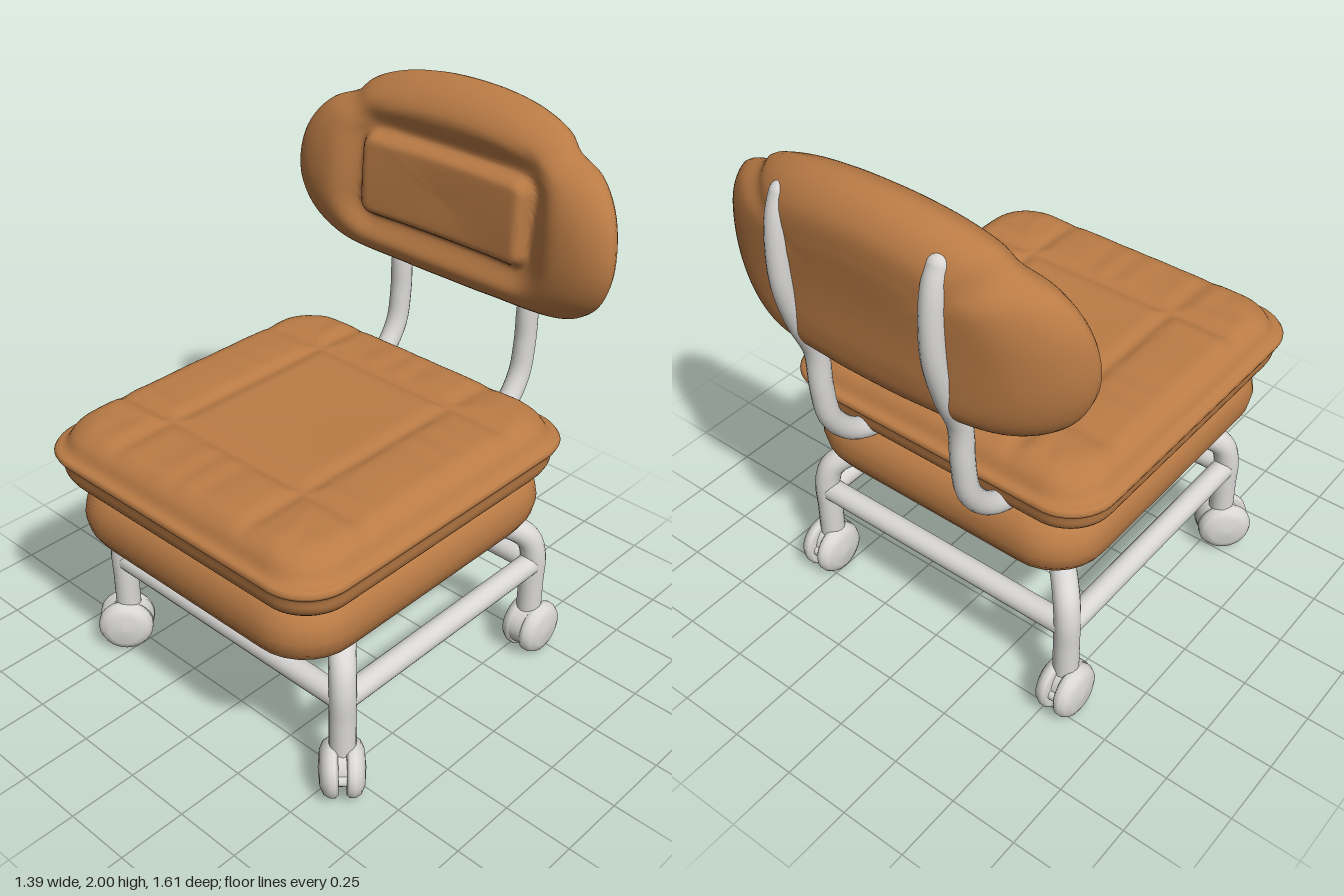
import * as THREE from 'three';

const leather = new THREE.MeshStandardMaterial({ color: 0xbb7c46 });
leather.name = 'tanLeather';
const metal = new THREE.MeshStandardMaterial({ color: 0xd9d8d6 });
metal.name = 'paleMetal';

const V = (x, y, z = 0) => new THREE.Vector3(x, y, z);
const gauss = (d, w) => Math.exp(-(d * d) / (w * w));

function add(parent, name, geometry, material) {
  const mesh = new THREE.Mesh(geometry, material);
  mesh.name = name;
  parent.add(mesh);
  return mesh;
}

// Closed padded form: outline scaled by a profile of [scale, height], then bent by a rule
function padded(outline, profile, rings, rule) {
  const curve = new THREE.CatmullRomCurve3(profile.map(([s, h]) => V(s, h)));
  const sections = curve.getSpacedPoints(rings);
  const n = outline.length;
  const pos = [], idx = [];
  sections.forEach((q, i) => {
    const s = Math.max(q.x, 0);
    outline.forEach((o, j) => {
      const p = V(o.x * s, o.y * s, q.y);
      if (rule) rule(p, s, i / rings);
      pos.push(p.x, p.y, p.z);
      if (i === rings) return;
      const k = (j + 1) % n, a = i * n + j, b = i * n + k;
      idx.push(a, b, b + n, a, b + n, a + n);
    });
  });
  const g = new THREE.BufferGeometry();
  g.setAttribute('position', new THREE.Float32BufferAttribute(pos, 3));
  g.setIndex(idx);
  g.computeVertexNormals();
  return g;
}

// Evenly spaced counter-clockwise points of a rounded rectangle
function roundedRect(w, h, r, count) {
  const s = new THREE.Shape();
  s.moveTo(w, 0);
  s.lineTo(w, h - r);
  s.absarc(w - r, h - r, r, 0, Math.PI / 2);
  s.absarc(-w + r, h - r, r, Math.PI / 2, Math.PI);
  s.absarc(-w + r, -h + r, r, Math.PI, Math.PI * 1.5);
  s.absarc(w - r, -h + r, r, Math.PI * 1.5, Math.PI * 2);
  s.lineTo(w, 0);
  return s.getSpacedPoints(count).slice(0, count);
}

function tube(parent, name, points, r) {
  const curve = new THREE.CatmullRomCurve3(points);
  return add(parent, name, new THREE.TubeGeometry(curve, 40, r, 16), metal);
}

function buildSeat(root) {
  // Lower cushion
  const base = padded(roundedRect(0.59, 0.637, 0.2, 96), [
    [0, 0.535], [0.7, 0.535], [0.88, 0.57], [0.97, 0.62], [1, 0.69],
    [0.98, 0.755], [0.92, 0.8], [0.8, 0.812], [0, 0.812]], 40);
  add(root, 'lowerCushion', base.rotateX(-Math.PI / 2).translate(0, 0, 0.125), leather);

  // Upper cushion with a piped edge and stitched grooves around the centre panel
  const top = padded(roundedRect(0.645, 0.663, 0.17, 192), [
    [0, 0.805], [0.84, 0.805], [0.92, 0.82], [0.965, 0.865], [0.975, 0.912], [1, 0.928],
    [1, 0.945], [0.958, 0.957], [0.92, 1.0], [0.85, 1.034], [0.74, 1.042], [0, 1.035]],
  120, (p, s, t) => {
    if (t < 0.5 || s > 0.95) return;
    const z = 0.142 - p.y;
    const dx = Math.abs(p.x) - 0.305, dz = Math.abs(z - 0.12) - 0.35;
    const fade = Math.min(1, (0.95 - s) / 0.15);
    p.z -= fade * 0.013 * Math.max(gauss(dx, 0.03), gauss(dz, 0.03));
    // soft puckers across the border pads
    if (Math.max(dx, dz) > 0.03) {
      const along = dx > dz ? z : p.x;
      p.z += fade * 0.002 * Math.sin(along * 37 + Math.sin(along * 13) * 2);
    }
  });
  add(root, 'upperCushion', top.rotateX(-Math.PI / 2).translate(0, 0, 0.142), leather);
}

function buildBackrest(root) {
  const half = [[0.2, 1.278], [0.5, 1.305], [0.62, 1.38], [0.68, 1.48], [0.695, 1.59],
    [0.665, 1.72], [0.585, 1.82], [0.47, 1.872], [0.42, 1.92], [0.3, 1.967], [0.15, 1.993]];
  const right = half.map(([x, y]) => V(x, y - 1.62));
  const left = half.map(([x, y]) => V(-x, y - 1.62)).reverse();
  const outline = new THREE.CatmullRomCurve3(
    [V(0, -0.345), ...right, V(0, 0.38), ...left], true).getSpacedPoints(160).slice(0, 160);
  const g = padded(outline, [
    [0, -0.165], [0.5, -0.16], [0.75, -0.135], [0.9, -0.085], [0.97, -0.04], [1, 0],
    [0.97, 0.035], [0.88, 0.08], [0.75, 0.108], [0.6, 0.112], [0, 0.1]], 90, (p, s, t) => {
    // groove around the inset front panel
    if (t > 0.5) {
      const qx = Math.abs(p.x) - 0.31, qy = Math.abs(p.y) - 0.1;
      const d = Math.hypot(Math.max(qx, 0), Math.max(qy, 0)) + Math.min(Math.max(qx, qy), 0) - 0.065;
      p.z -= 0.045 * gauss(d, d > 0 ? 0.065 : 0.022) * Math.min(1, (1 - s) / 0.2);
    }
    // wrap forward at the sides, curl back at the top and bottom
    const x2 = p.x * p.x;
    p.z += -0.603 + 0.06 * x2 + 0.14 * x2 * x2 - 0.06 * p.y - 0.3 * p.y * p.y;
  });
  add(root, 'backrest', g.translate(0, 1.62, 0), leather);
}

function buildCaster(x, z, turn) {
  const caster = new THREE.Group();
  caster.name = 'caster';
  const profile = [[0, 0.014], [0.09, 0.014], [0.1, 0.024], [0.1, 0.042],
    [0.088, 0.062], [0.06, 0.075], [0, 0.08]].map(([r, h]) => new THREE.Vector2(r, h));
  for (const side of [-1, 1]) {
    const wheel = add(caster, 'casterWheel', new THREE.LatheGeometry(profile, 28), metal);
    wheel.rotation.z = -side * Math.PI / 2;
  }
  const housing = add(caster, 'casterHousing', new THREE.CylinderGeometry(0.083, 0.083, 0.05, 24), metal);
  housing.rotation.z = Math.PI / 2;
  housing.position.set(0, 0.01, -0.018);
  const axle = add(caster, 'casterAxle', new THREE.CylinderGeometry(0.02, 0.02, 0.08, 12), metal);
  axle.rotation.z = Math.PI / 2;
  axle.position.z = 0.06;
  caster.position.set(x, 0.1, z);
  caster.rotation.y = turn;
  return caster;
}

function buildFrame(root) {
  const mid = 0.05;
  for (const sx of [-1, 1]) {
    for (const sz of [-1, 1]) {
      // Leg bending diagonally inward under the seat
      const at = (inset, y) => V(sx * (0.545 - inset), y, mid + sz * (0.5 - inset));
      tube(root, 'leg', [at(0, 0.14), at(0, 0.3), at(0, 0.42), at(0.018, 0.495),
        at(0.065, 0.54), at(0.13, 0.557), at(0.26, 0.565)], 0.046);
      const plate = add(root, 'mountingPlate', new THREE.BoxGeometry(0.08, 0.02, 0.08), metal);
      plate.position.set(sx * 0.285, 0.535, mid + sz * 0.25);
      plate.rotation.y = Math.PI / 4;
      const turn = sz > 0 ? sx * Math.PI / 4 : Math.PI;
      root.add(buildCaster(sx * 0.552, mid + sz * 0.51, turn));
    }
    // Side, front and rear rails
    const sideRail = add(root, 'sideRail', new THREE.CylinderGeometry(0.042, 0.042, 1, 16), metal);
    sideRail.rotation.x = Math.PI / 2;
    sideRail.position.set(sx * 0.545, 0.385, mid);
    const crossRail = add(root, 'crossRail', new THREE.CylinderGeometry(0.042, 0.042, 1.09, 16), metal);
    crossRail.rotation.z = Math.PI / 2;
    crossRail.position.set(0, 0.385, mid + sx * 0.5);

    // Curved backrest support
    const path = [[0.81, -0.36], [0.835, -0.48], [0.89, -0.565], [0.99, -0.635], [1.12, -0.657],
      [1.28, -0.665], [1.42, -0.72], [1.58, -0.762], [1.72, -0.765], [1.82, -0.75], [1.88, -0.725]]
      .map(([y, z]) => V(sx * 0.293, y, z));
    tube(root, 'backSupport', path, 0.04);
    const cap = add(root, 'backSupportCap', new THREE.SphereGeometry(0.04, 16, 12), metal);
    cap.position.copy(path[path.length - 1]);
  }
}

export function createModel() {
  const root = new THREE.Group();
  root.name = 'rollingChair';
  buildSeat(root);
  buildBackrest(root);
  buildFrame(root);
  return root;
}
